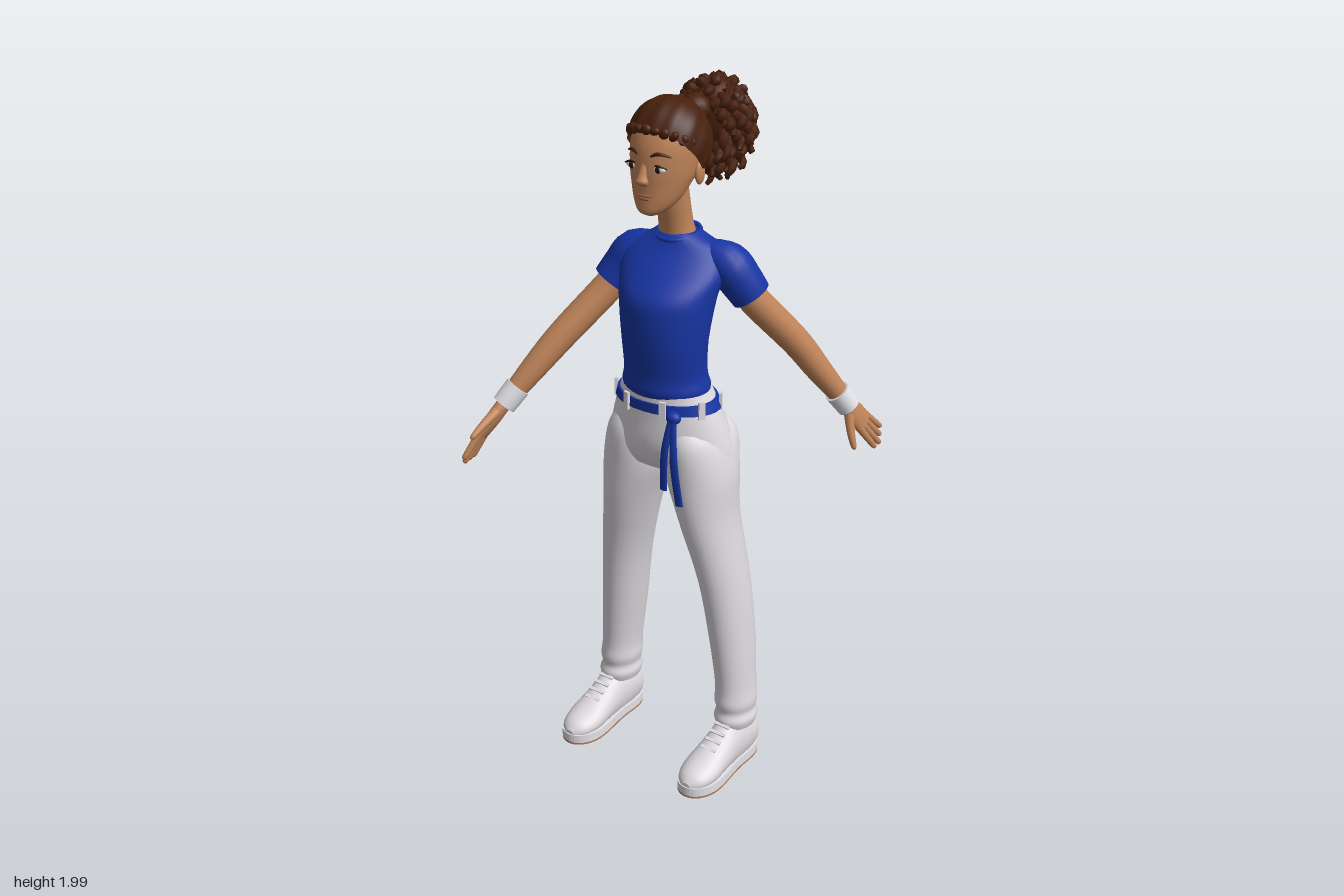
import * as THREE from 'three';

const V = (x, y, z) => new THREE.Vector3(x, y, z);
const X = V(1, 0, 0), Y = V(0, 1, 0);
const mat = (name, color, side = THREE.FrontSide) => {
  const m = new THREE.MeshStandardMaterial({ color, side });
  m.name = name;
  return m;
};

// Smooth loft through elliptical sections [x, y, z, radiusA, radiusB, twist].
// Without an axis the sections follow the path; ref sets the direction of radiusA.
function loft(rings, { ref = X, axis = null, sides = 20, steps = 4 } = {}) {
  const cr = (a, b, c, d, t) => 0.5 * (2 * b + (c - a) * t + (2 * a - 5 * b + 4 * c - d) * t * t + (3 * b - a - 3 * c + d) * t ** 3);
  const at = (i) => rings[Math.max(0, Math.min(rings.length - 1, i))];
  const secs = [];
  for (let i = 0; i < rings.length - 1; i++) {
    for (let k = 0; k < steps; k++) {
      secs.push([0, 1, 2, 3, 4, 5].map((c) => cr(...[-1, 0, 1, 2].map((o) => at(i + o)[c] ?? (c === 4 ? at(i + o)[3] : 0)), k / steps)));
    }
  }
  const end = rings[rings.length - 1];
  secs.push([end[0], end[1], end[2], end[3], end[4] ?? end[3], end[5] ?? 0]);
  const pos = [], idx = [], n = secs.length, P = secs.map((s) => V(s[0], s[1], s[2]));
  const ring = (i) => {
    const s = secs[i];
    const t = axis ? axis.clone() : P[Math.min(n - 1, i + 1)].clone().sub(P[Math.max(0, i - 1)]).normalize();
    const A = ref.clone().addScaledVector(t, -ref.dot(t)).normalize().applyAxisAngle(t, s[5]);
    const B = t.clone().cross(A);
    for (let j = 0; j < sides; j++) {
      const a = (j / sides) * Math.PI * 2;
      const p = P[i].clone().addScaledVector(A, Math.max(0.001, s[3]) * Math.cos(a)).addScaledVector(B, Math.max(0.001, s[4]) * Math.sin(a));
      pos.push(p.x, p.y, p.z);
    }
  };
  for (let i = 0; i < n; i++) ring(i);
  for (let i = 0; i < n - 1; i++) {
    for (let j = 0; j < sides; j++) {
      const a = i * sides + j, b = i * sides + (j + 1) % sides;
      idx.push(a, b, b + sides, a, b + sides, a + sides);
    }
  }
  for (const e of [0, n - 1]) { // end caps
    const base = pos.length / 3;
    ring(e);
    pos.push(P[e].x, P[e].y, P[e].z);
    for (let j = 0; j < sides; j++) {
      const a = base + j, b = base + (j + 1) % sides;
      idx.push(base + sides, ...(e ? [a, b] : [b, a]));
    }
  }
  const g = new THREE.BufferGeometry();
  g.setAttribute('position', new THREE.Float32BufferAttribute(pos, 3));
  g.setIndex(idx);
  g.computeVertexNormals();
  return g;
}

export function createModel() {
  const root = new THREE.Group();
  root.name = 'standingGirl';
  const skin = mat('skin', 0xc08459), hair = mat('brown hair', 0x48200c, THREE.DoubleSide);
  const blue = mat('blue cloth', 0x1735a3), white = mat('white cloth', 0xdedade);
  const band = mat('wristband white', 0xe4e4ea), soleTan = mat('sole tan', 0xb87a50);
  const eyeWhite = mat('eye white', 0xe8e2da), dark = mat('eye dark', 0x24140c), lip = mat('lip', 0x9a5a40);
  const add = (name, geo, m, parent = root) => {
    const mesh = new THREE.Mesh(geo, m);
    mesh.name = name;
    parent.add(mesh);
    return mesh;
  };
  const ball = (name, m, x, y, z, rx, ry, rz) => {
    const b = add(name, new THREE.SphereGeometry(1, 16, 12), m);
    b.position.set(x, y, z);
    b.scale.set(rx, ry, rz);
    return b;
  };
  const flat = { axis: Y, sides: 32 };

  // Head and neck
  const hx = -0.01;
  add('head', loft([[hx, 1.66, 0.092, 0.015, 0.015], [hx, 1.672, 0.085, 0.038, 0.04], [hx, 1.70, 0.064, 0.062, 0.062],
    [hx, 1.74, 0.045, 0.079, 0.08], [hx, 1.78, 0.028, 0.09, 0.098], [hx, 1.84, 0.018, 0.094, 0.103],
    [hx, 1.89, 0.012, 0.085, 0.09], [hx, 1.92, 0.012, 0.065, 0.068], [hx, 1.94, 0.012, 0.02, 0.02]], flat), skin);
  add('neck', loft([[-0.01, 1.57, -0.025, 0.058, 0.05], [-0.01, 1.62, -0.015, 0.047, 0.046], [-0.01, 1.74, 0.012, 0.046, 0.05]], flat), skin);
  add('nose', loft([[hx, 1.80, 0.118, 0.01, 0.008], [hx, 1.77, 0.127, 0.013, 0.012], [hx, 1.755, 0.13, 0.018, 0.015],
    [hx, 1.742, 0.122, 0.012, 0.008]], { axis: V(0, -1, 0) }), skin);
  ball('upperLip', lip, hx, 1.717, 0.121, 0.026, 0.004, 0.008);
  ball('lowerLip', lip, hx, 1.709, 0.121, 0.019, 0.005, 0.008);
  for (const s of [-1, 1]) {
    const ex = hx + s * 0.042;
    ball('eye', eyeWhite, ex, 1.79, 0.112, 0.02, 0.01, 0.009);
    ball('iris', dark, ex, 1.79, 0.1165, 0.009, 0.0095, 0.006);
    add('eyelid', loft([[ex - 0.022, 1.793, 0.112 - 0.004 * s, 0.002], [ex, 1.801, 0.12, 0.003], [ex + 0.022, 1.793, 0.112 + 0.004 * -s, 0.002]], { ref: Y, sides: 6 }), dark);
    add('eyebrow', loft([[ex - s * 0.022, 1.822, 0.118, 0.004], [ex, 1.83, 0.113, 0.005], [ex + s * 0.027, 1.822, 0.096, 0.002]], { ref: Y, sides: 6 }), hair);
    ball('ear', skin, hx + s * 0.092, 1.765, 0.005, 0.01, 0.03, 0.018);
  }

  // Swept-back hair: a tilted, faintly ridged cap
  const cap = new THREE.SphereGeometry(1, 84, 24, 0, Math.PI * 2, 0, 1.87);
  const cp = cap.attributes.position;
  for (let i = 0; i < cp.count; i++) {
    const v = V().fromBufferAttribute(cp, i);
    v.multiplyScalar(1 + 0.013 * Math.sin(14 * Math.atan2(v.z, v.x)) * Math.hypot(v.x, v.z));
    cp.setXYZ(i, v.x, v.y, v.z);
  }
  cap.rotateX(-Math.PI / 4).scale(0.112, 0.121, 0.11).translate(-0.009, 1.834, 0.012);
  cap.computeVertexNormals();
  add('hairCap', cap, hair);
  for (let i = 0; i < 11; i++) { // little curls on the hairline
    const a = ((i - 5) / 5) * 1.25, x = hx + 0.1 * Math.sin(a), z = 0.012 + 0.099 * Math.cos(a), y = 1.835 + 0.052 * Math.cos(a);
    const c = ball('hairlineCurl', hair, x, y, z, 0.016, 0.011 + 0.003 * (i % 2), 0.011);
    c.rotation.z = a;
  }

  // Curly ponytail: corkscrew locks around a core
  const C = V(-0.01, 1.865, -0.185), R = V(0.112, 0.122, 0.09);
  ball('ponytailCore', hair, C.x, C.y, C.z, 0.088, 0.105, 0.07);
  ball('ponytailRoot', hair, hx, 1.9, -0.1, 0.045, 0.04, 0.04);
  const locks = 110;
  for (let i = 0; i < locks; i++) {
    const y = 1 - (2 * (i + 0.5)) / locks, r = Math.sqrt(1 - y * y), a = i * 2.39996;
    const d = V(r * Math.cos(a), y, r * Math.sin(a));
    if (d.z > 0.78) continue;
    const rings = [], drop = 0.045 + 0.02 * Math.sin(i * 1.7);
    for (let k = 0; k <= 12; k++) {
      const t = k / 12, out = Math.min(1, 0.55 + t * 0.75), w = 0.009 * t, h = t * 13 + i;
      rings.push([C.x + d.x * R.x * out + w * Math.cos(h), C.y + d.y * R.y * out - drop * t * t,
        C.z + d.z * R.z * out + w * Math.sin(h), 0.015 - 0.009 * t ** 3]);
    }
    add('ponytailCurl', loft(rings, { ref: V(0.3, 0.2, 0.93), sides: 6, steps: 1 }), hair);
  }

  // Shirt, its shoulders turned against the hips
  add('shirt', loft([[0, 1.162, 0.04, 0.126, 0.1], [0, 1.18, 0.041, 0.13, 0.104], [0, 1.22, 0.044, 0.121, 0.1], [0.002, 1.3, 0.05, 0.124, 0.104],
    [0.002, 1.38, 0.044, 0.131, 0.112, 0.08], [0, 1.44, 0.03, 0.138, 0.117, 0.18], [-0.003, 1.5, 0.002, 0.15, 0.092, 0.26],
    [-0.005, 1.55, -0.02, 0.13, 0.07, 0.26], [-0.008, 1.583, -0.026, 0.075, 0.058, 0.15], [-0.01, 1.592, -0.026, 0.06, 0.05]], flat), blue);
  const collar = add('collar', new THREE.TorusGeometry(0.06, 0.007, 8, 32), blue);
  collar.position.set(-0.01, 1.585, -0.025);
  collar.rotation.x = Math.PI / 2 + 0.15;

  // Arms: left swings back, right swings forward
  const arms = [
    { side: 'left', sleeve: [[0.06, 1.535, -0.04, 0.04], [0.125, 1.512, -0.06, 0.06], [0.158, 1.468, -0.077, 0.059], [0.182, 1.425, -0.094, 0.055]],
      arm: [[0.13, 1.51, -0.06, 0.042], [0.185, 1.415, -0.098, 0.043], [0.26, 1.282, -0.195, 0.041], [0.31, 1.185, -0.25, 0.036], [0.364, 1.08, -0.312, 0.026]],
      band: [[0.345, 1.118, -0.288, 0.036], [0.369, 1.07, -0.316, 0.034]],
      wrist: V(0.362, 1.082, -0.31), knuckle: V(0.395, 1.01, -0.36), tip: V(0.422, 0.948, -0.41), thumb: V(0.405, 0.962, -0.295) },
    { side: 'right', sleeve: [[-0.06, 1.535, -0.01, 0.04], [-0.13, 1.512, -0.002, 0.06], [-0.163, 1.468, 0.014, 0.059], [-0.188, 1.425, 0.037, 0.055]],
      arm: [[-0.13, 1.51, -0.01, 0.042], [-0.19, 1.415, 0.043, 0.043], [-0.268, 1.288, 0.152, 0.041], [-0.312, 1.205, 0.222, 0.036], [-0.362, 1.105, 0.302, 0.026]],
      band: [[-0.34, 1.15, 0.268, 0.036], [-0.363, 1.102, 0.304, 0.034]],
      wrist: V(-0.36, 1.11, 0.3), knuckle: V(-0.393, 1.025, 0.37), tip: V(-0.415, 0.955, 0.41), thumb: V(-0.365, 1.05, 0.43) },
  ];
  for (const a of arms) {
    const g = new THREE.Group();
    g.name = a.side + 'Arm';
    root.add(g);
    add('sleeve', loft(a.sleeve, { ref: V(0, 0, 1) }), blue, g);
    add('arm', loft(a.arm, { ref: V(0, 0, 1) }), skin, g);
    add('wristband', loft(a.band, { ref: V(0, 0, 1) }), band, g);
    const d = a.tip.clone().sub(a.wrist).normalize(), s = a.thumb.clone().sub(a.wrist);
    s.addScaledVector(d, -s.dot(d)).normalize();
    const mid = a.wrist.clone().lerp(a.knuckle, 0.55);
    add('palm', loft([[...a.wrist, 0.024, 0.02], [...mid, 0.034, 0.019], [...a.knuckle, 0.034, 0.014]], { ref: s }), skin, g);
    for (let k = 0; k < 4; k++) {
      const o = k - 1.5, len = 1 - 0.13 * Math.abs(k - 2);
      const b = a.knuckle.clone().addScaledVector(s, o * 0.016).addScaledVector(d, -0.01);
      const e = a.knuckle.clone().lerp(a.tip, len).addScaledVector(s, o * 0.021);
      add('finger', loft([[...b, 0.011], [...b.clone().lerp(e, 0.6), 0.0095], [...e, 0.008], [...e.clone().addScaledVector(d, 0.007), 0.002]], { ref: s, sides: 8 }), skin, g);
    }
    const tb = a.wrist.clone().lerp(a.knuckle, 0.25).addScaledVector(s, 0.01), tm = tb.clone().lerp(a.thumb, 0.55).addScaledVector(s, 0.006);
    add('thumb', loft([[...tb, 0.016], [...tm, 0.012], [...a.thumb, 0.008], [...a.thumb.clone().addScaledVector(d, 0.005), 0.002]], { ref: V(0.5, 0.2, 0.8), sides: 10 }), skin, g);
  }

  // Trousers
  add('trouserHips', loft([[0, 0.945, 0.015, 0.19, 0.1], [0, 0.98, 0.015, 0.198, 0.118], [0, 1.03, 0.017, 0.188, 0.125],
    [0, 1.1, 0.028, 0.165, 0.112], [0, 1.17, 0.038, 0.135, 0.102]], flat), white);
  const outline = new THREE.Shape();
  outline.moveTo(0, -0.084);
  outline.bezierCurveTo(0.05, -0.084, 0.052, -0.04, 0.05, 0.02);
  outline.bezierCurveTo(0.05, 0.08, 0.064, 0.12, 0.062, 0.17);
  outline.bezierCurveTo(0.058, 0.22, 0.03, 0.247, 0, 0.247);
  outline.bezierCurveTo(-0.03, 0.247, -0.058, 0.22, -0.062, 0.17);
  outline.bezierCurveTo(-0.064, 0.12, -0.05, 0.08, -0.05, 0.02);
  outline.bezierCurveTo(-0.052, -0.04, -0.05, -0.084, 0, -0.084);
  const slab = (h, y) => new THREE.ExtrudeGeometry(outline, { depth: h, bevelEnabled: false, curveSegments: 10 }).rotateX(Math.PI / 2).translate(0, y + h, 0);
  for (const s of [-1, 1]) {
    const g = new THREE.Group();
    g.name = s > 0 ? 'leftLeg' : 'rightLeg';
    root.add(g);
    add('trouserLeg', loft([[0.215, 0.125, -0.01, 0.054, 0.066], [0.215, 0.15, -0.01, 0.06, 0.072], [0.214, 0.175, -0.012, 0.054, 0.066],
      [0.213, 0.205, -0.012, 0.059, 0.071], [0.21, 0.26, -0.014, 0.056, 0.069], [0.197, 0.4, -0.013, 0.061, 0.078], [0.173, 0.6, 0, 0.067, 0.087],
      [0.132, 0.8, 0.02, 0.08, 0.102], [0.108, 0.93, 0.019, 0.1, 0.112], [0.1, 1.03, 0.012, 0.085, 0.121], [0.09, 1.08, 0.02, 0.06, 0.09]]
      .map((r) => [r[0] * s, ...r.slice(1)]), flat), white, g);
    // Shoe
    const fx = s * 0.217;
    add('shoeUpper', loft([[fx, 0.05, -0.083, 0.02, 0.028], [fx, 0.068, -0.065, 0.044, 0.058], [fx, 0.072, -0.02, 0.05, 0.078], [fx, 0.07, 0.04, 0.05, 0.078],
      [fx, 0.058, 0.1, 0.053, 0.058], [fx, 0.044, 0.17, 0.057, 0.04], [fx, 0.036, 0.22, 0.042, 0.028], [fx, 0.03, 0.243, 0.014, 0.012]], { axis: V(0, 0, 1), sides: 24 })
      .translate(0, 0.002, 0), white, g);
    add('shoeSole', slab(0.026, 0.006), band, g).position.x = fx;
    add('soleBottom', slab(0.006, 0), soleTan, g).position.x = fx;
    for (let k = 0; k < 4; k++) {
      const lace = add('lace', new THREE.BoxGeometry(0.05, 0.007, 0.009), band, g);
      lace.position.set(fx, 0.142 - k * 0.014, 0.062 + k * 0.023);
      lace.rotation.x = 0.55;
    }
  }

  // Belt with loops, knot and two hanging ends
  add('belt', loft([[0, 1.122, 0.032, 0.162, 0.114], [0, 1.15, 0.035, 0.151, 0.111]], flat), blue);
  for (let i = 0; i < 8; i++) {
    const a = ((i + 0.5) / 8) * Math.PI * 2;
    const loop = add('beltLoop', new THREE.BoxGeometry(0.018, 0.05, 0.008), white);
    loop.position.set(0.158 * Math.sin(a), 1.137, 0.034 + 0.115 * Math.cos(a));
    loop.rotation.y = Math.atan2(Math.sin(a) / 0.158, Math.cos(a) / 0.115);
  }
  ball('beltKnot', blue, 0.1, 1.128, 0.143, 0.022, 0.018, 0.018);
  add('beltEnd', loft([[0.098, 1.13, 0.15, 0.01, 0.005], [0.088, 1.03, 0.168, 0.012, 0.006], [0.08, 0.915, 0.162, 0.012, 0.005]], { sides: 10 }), blue);
  add('beltEnd', loft([[0.104, 1.13, 0.15, 0.01, 0.005], [0.122, 1.01, 0.172, 0.013, 0.006], [0.138, 0.885, 0.168, 0.013, 0.005]], { sides: 10 }), blue);
  return root;
}
